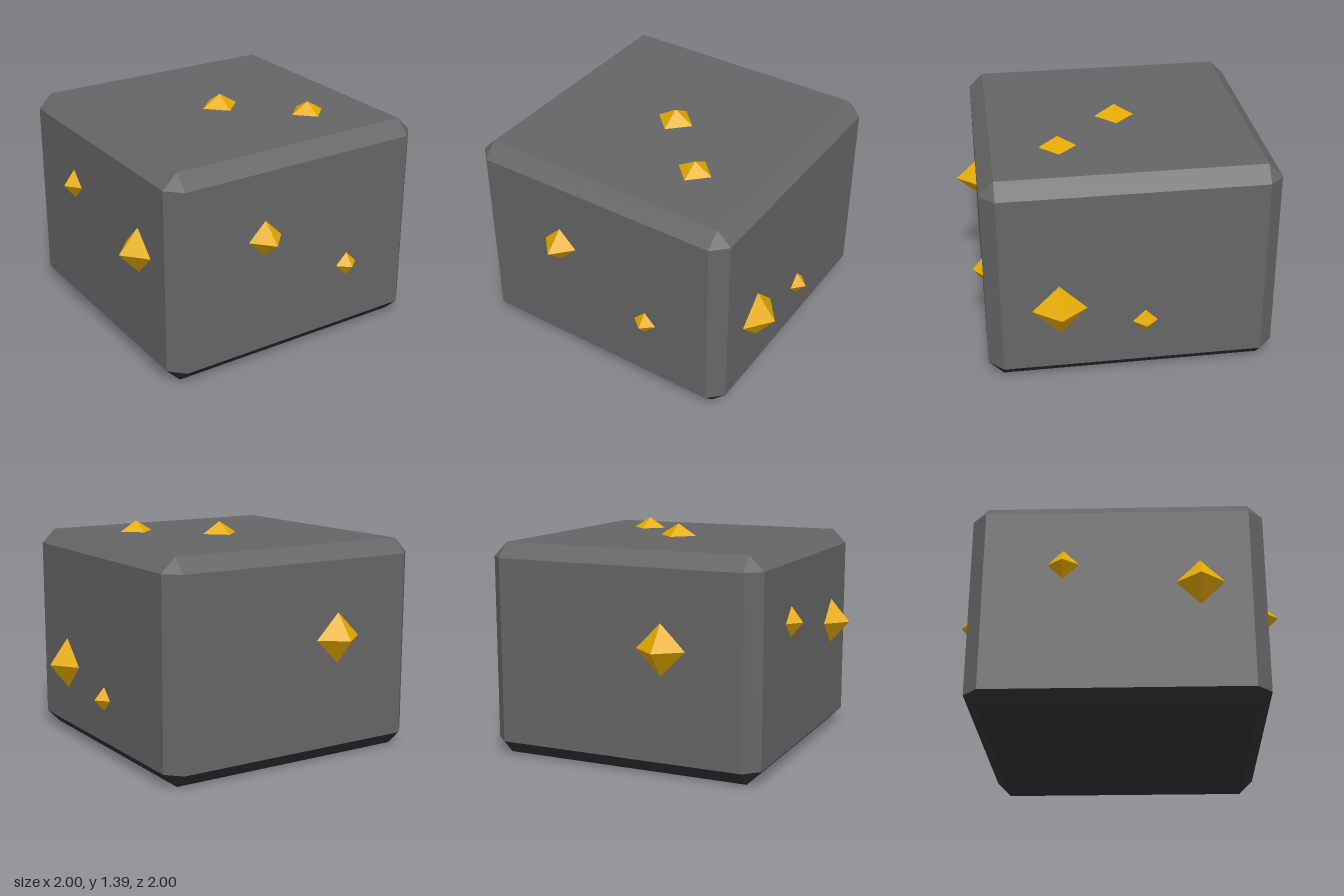
import * as THREE from 'three';
import { ConvexGeometry } from 'three/addons/geometries/ConvexGeometry.js';

const HALF = 0.873, HEIGHT = 1.315, BEVEL = 0.088;

// Box with chamfered edges and triangular corners, standing on y = 0.
// Faces pointing down go to material 1, all others to material 0.
function chamferedBox(hx, hy, hz, b) {
  const points = [];
  for (const x of [-1, 1]) for (const y of [-1, 1]) for (const z of [-1, 1]) {
    points.push(
      new THREE.Vector3(x * hx, y * (hy - b), z * (hz - b)),
      new THREE.Vector3(x * (hx - b), y * hy, z * (hz - b)),
      new THREE.Vector3(x * (hx - b), y * (hy - b), z * hz)
    );
  }
  const geometry = new ConvexGeometry(points).translate(0, hy, 0);
  const normal = geometry.attributes.normal;
  for (let i = 0; i < normal.count; i += 3) {
    geometry.addGroup(i, 3, normal.getY(i) < -0.1 ? 1 : 0);
  }
  return geometry;
}

function flatMaterial(name, color) {
  const material = new THREE.MeshStandardMaterial({ color, flatShading: true });
  material.name = name;
  return material;
}

export function createModel() {
  const stone = flatMaterial('greyStone', 0x666666);
  const underside = flatMaterial('darkUnderside', 0x333333);
  const gold = flatMaterial('gold', 0xe6ac00);

  const model = new THREE.Group();
  model.name = 'oreBlock';

  const block = new THREE.Mesh(chamferedBox(HALF, HEIGHT / 2, HALF, BEVEL), [stone, underside]);
  block.name = 'stoneBlock';
  model.add(block);

  // Octahedral nuggets half sunk into the faces: name, axis, centre, half width, protrusion
  const nuggets = [
    ['topNuggetCentre', 'y', [0, HEIGHT, 0], 0.122, 0.075],
    ['topNuggetCorner', 'y', [0.39, HEIGHT, 0.39], 0.112, 0.067],
    ['frontNuggetLarge', 'z', [-0.253, 0.814, HALF], 0.113, 0.124],
    ['frontNuggetSmall', 'z', [0.354, 0.484, HALF], 0.075, 0.064],
    ['leftNuggetLarge', 'x', [HALF, 0.487, 0.442], 0.163, 0.125],
    ['leftNuggetSmall', 'x', [HALF, 0.364, -0.068], 0.075, 0.068],
    ['rightNuggetLarge', 'x', [-HALF, 0.747, 0.487], 0.143, 0.126],
    ['rightNuggetSmall', 'x', [-HALF, 0.873, -0.315], 0.094, 0.075],
    ['backNugget', 'z', [-0.283, 0.757, -HALF], 0.155, 0.125]
  ];
  const octahedron = new THREE.OctahedronGeometry(1);
  for (const [name, axis, centre, width, depth] of nuggets) {
    const nugget = new THREE.Mesh(octahedron, gold);
    nugget.name = name;
    nugget.position.set(...centre);
    nugget.scale.setScalar(width);
    nugget.scale[axis] = depth;
    model.add(nugget);
  }
  return model;
}
